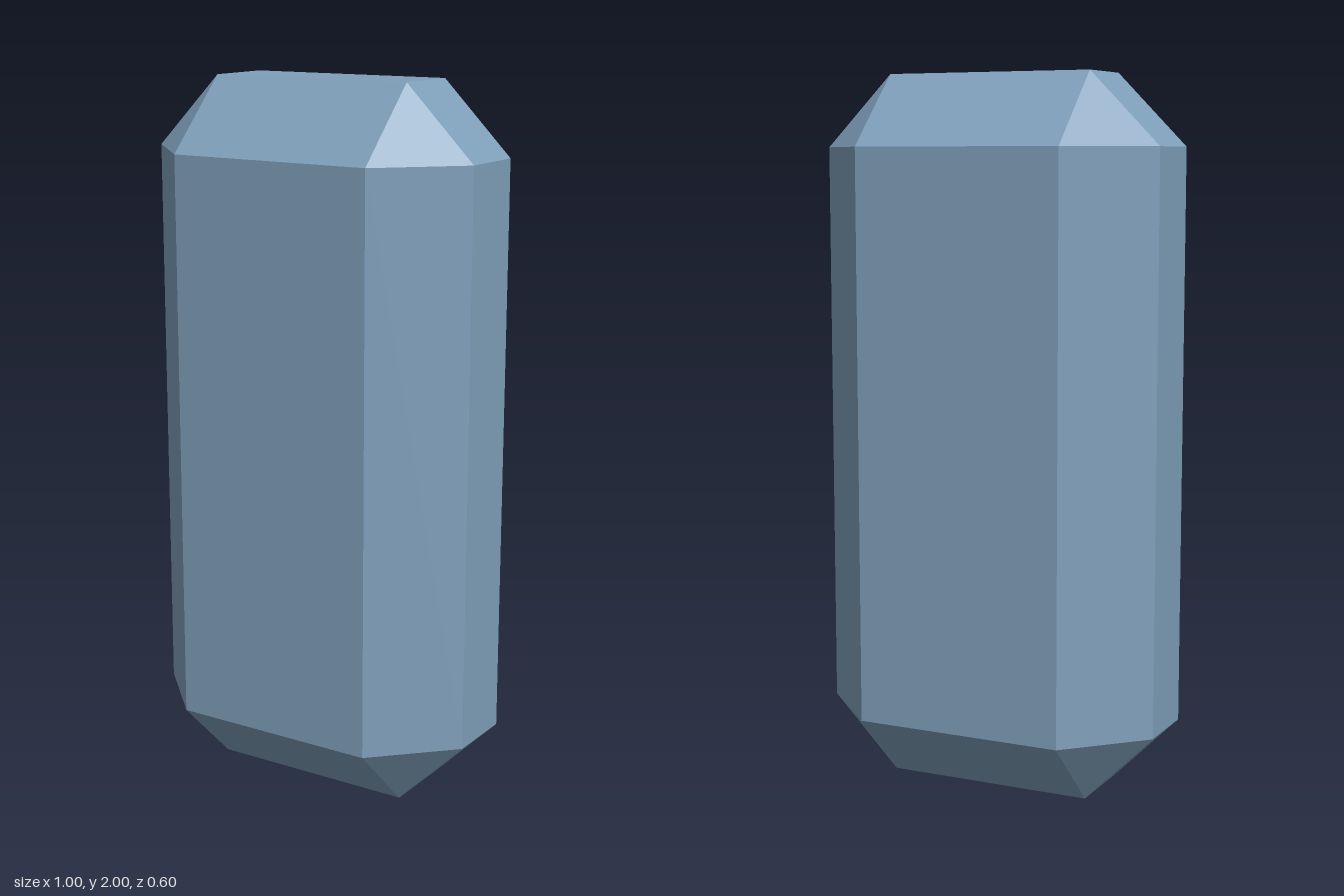
import * as THREE from 'three';
import { ConvexGeometry } from 'three/addons/geometries/ConvexGeometry.js';

// Box with every edge chamfered: each corner becomes a small triangle
function chamferedBox(width, height, depth, bevel) {
  const half = [width / 2, height / 2, depth / 2];
  const points = [];
  for (const sx of [-1, 1]) for (const sy of [-1, 1]) for (const sz of [-1, 1]) {
    for (let axis = 0; axis < 3; axis++) {
      // the point touches the full extent on one axis only
      const [x, y, z] = half.map((h, i) => (i === axis ? h : h - bevel));
      points.push(new THREE.Vector3(sx * x, sy * y, sz * z));
    }
  }
  return new ConvexGeometry(points);
}

export function createModel() {
  const group = new THREE.Group();
  group.name = 'chamferedBlock';

  const material = new THREE.MeshStandardMaterial({ color: 0x7f9fba, flatShading: true });
  const block = new THREE.Mesh(chamferedBox(1, 2, 0.6, 0.2), material);
  block.name = 'block';
  block.position.y = 1;
  group.add(block);

  return group;
}
